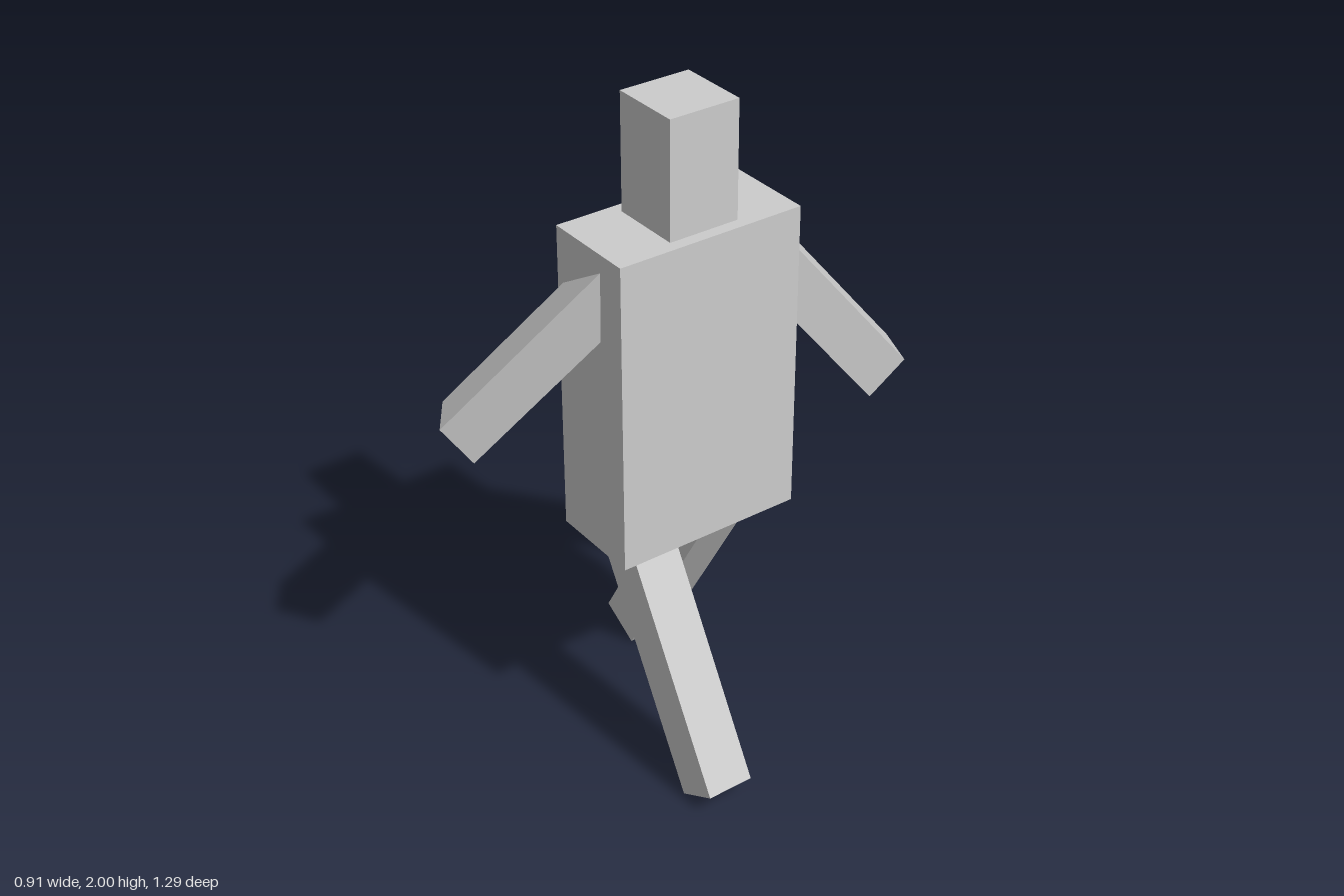
import * as THREE from 'three';

const material = new THREE.MeshStandardMaterial({ color: 0xcccccc, flatShading: true });
const V = (x, y, z) => new THREE.Vector3(x, y, z);

function block(name, size, centre) {
  const mesh = new THREE.Mesh(new THREE.BoxGeometry(...size), material);
  mesh.name = name;
  mesh.position.set(...centre);
  return mesh;
}

// Slanted limb: centre of its free end, the two edges of that end, and the run back into the body
function limb(name, end, edgeA, edgeB, run) {
  const b = edgeA.clone().cross(run).dot(edgeB) < 0 ? edgeB.clone().negate() : edgeB;
  const geometry = new THREE.BoxGeometry(1, 1, 1).translate(0, 0.5, 0);
  geometry.applyMatrix4(new THREE.Matrix4().makeBasis(edgeA, run, b).setPosition(end));
  geometry.computeVertexNormals();
  const mesh = new THREE.Mesh(geometry, material);
  mesh.name = name;
  return mesh;
}

export function createModel() {
  const model = new THREE.Group();
  model.name = 'walkingFigure';

  model.add(block('torso', [0.29, 0.94, 0.58], [0.003, 1.185, 0]));
  model.add(block('head', [0.217, 0.345, 0.217], [0.003, 1.8275, 0]));

  // Legs stride apart along x, each leaning 30 degrees
  const w = 0.144, lean = Math.PI / 6, length = 0.9;
  const c = Math.cos(lean), s = Math.sin(lean);
  for (const [name, side, z] of [['forwardLeg', 1, 0.151], ['trailingLeg', -1, -0.13]]) {
    model.add(limb(name, V(side * 0.393, w * s / 2, z),
      V(side * w * c, w * s, 0), V(0, 0, w), V(-side * s * length, c * length, 0)));
  }

  // Arms reach out from the two narrow sides of the torso
  model.add(limb('frontArm', V(-0.229, 1.075, 0.57),
    V(0.118, 0, 0.08), V(-0.047, 0.11, 0.072), V(0.25, 0.47, -0.355).multiplyScalar(1.1)));
  model.add(limb('backArm', V(0.17, 1.072, -0.576),
    V(0.134, 0, 0.05), V(0.033, 0.105, -0.093), V(-0.13, 0.463, 0.355).multiplyScalar(1.1)));

  return model;
}
